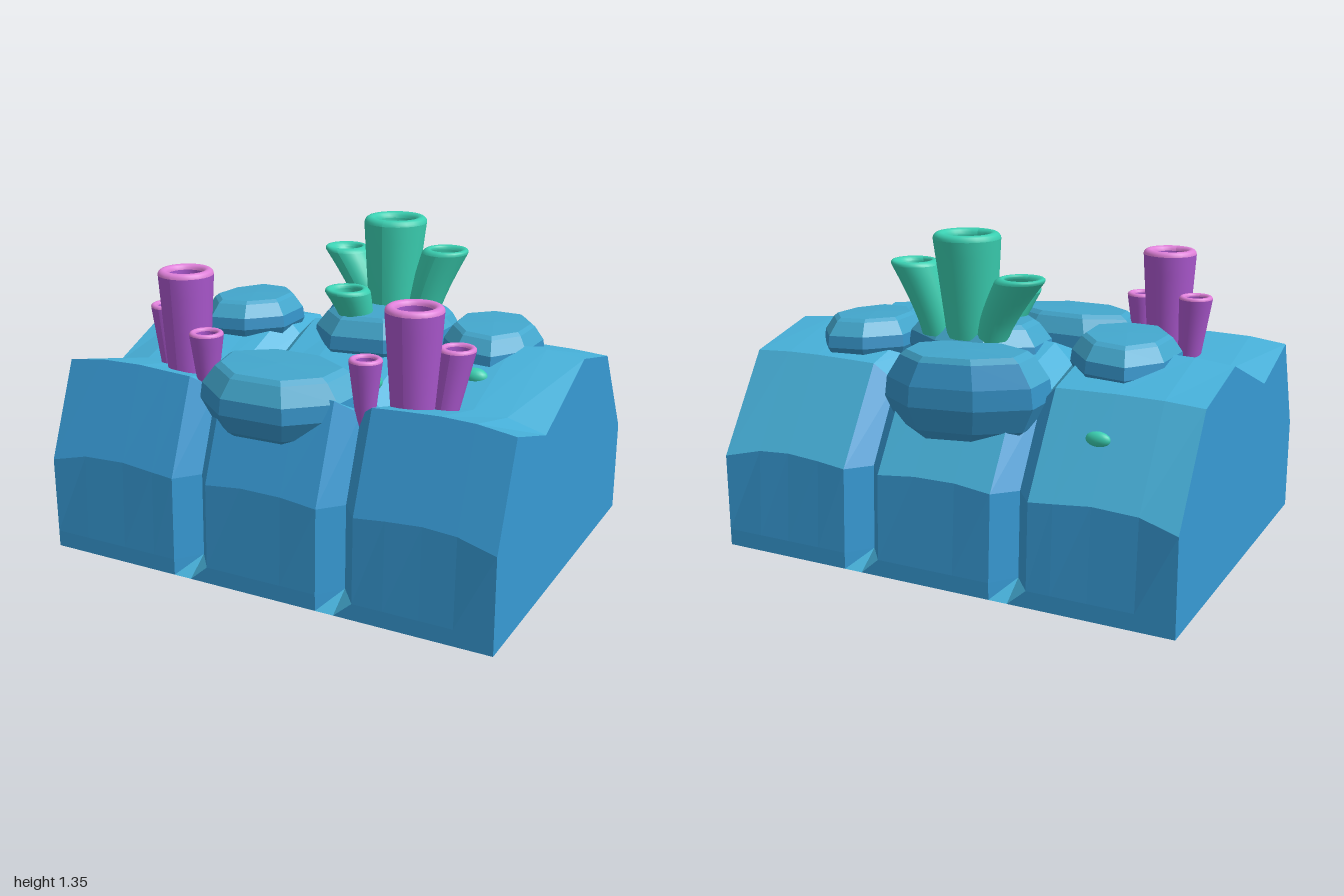
import * as THREE from 'three';

const mat = (name, color, extra = {}) =>
  Object.assign(new THREE.MeshStandardMaterial({ color, ...extra }), { name });

// Flat-shaded copy with two groups: 0 for faces turned up, 1 for the others
function splitByFacing(geometry, minUp) {
  const src = geometry.toNonIndexed().attributes.position;
  const up = [], other = [];
  const tri = new THREE.Triangle(), normal = new THREE.Vector3();
  for (let i = 0; i < src.count; i += 3) {
    tri.setFromAttributeAndIndices(src, i, i + 1, i + 2);
    if (tri.getArea() < 1e-8) continue;
    tri.getNormal(normal);
    const list = normal.y > minUp ? up : other;
    list.push(...tri.a.toArray(), ...tri.b.toArray(), ...tri.c.toArray());
  }
  const g = new THREE.BufferGeometry();
  g.setAttribute('position', new THREE.Float32BufferAttribute([...up, ...other], 3));
  g.addGroup(0, up.length / 3, 0);
  g.addGroup(up.length / 3, other.length / 3, 1);
  g.computeVertexNormals();
  return g;
}

export function createModel() {
  const group = new THREE.Group();
  const groundTop = mat('ground top cyan', 0x47b1da, { flatShading: true });
  const groundSide = mat('ground side blue', 0x379ad4, { flatShading: true });
  const rockTop = mat('rock top cyan', 0x43a7cd, { flatShading: true });
  const rockSide = mat('rock side blue', 0x3593c8, { flatShading: true });
  const purple = mat('coral purple', 0xaa57cd);
  const pink = mat('rim pink', 0xdf80d9);
  const teal = mat('coral teal', 0x3acfb1);

  const add = (name, geometry, material, parent = group) => {
    const mesh = new THREE.Mesh(geometry, material);
    mesh.name = name;
    parent.add(mesh);
    return mesh;
  };

  // Reef ground: one cross-section swept along x, with two grooves.
  // Each row: z, y, groove direction (z, y), swell (z, y)
  const rows = [
    [0.76, 0, 0, 0, 0, 0], [0.76, 0.07, 1, 0, 0, 0], [0.76, 0.4, 1, 0, -0.018, 0.045],
    [0.6, 0.8, 0.7, 0.6, -0.008, 0.025], [0.28, 0.7, 0, 0.8, -0.01, 0.05], [-0.16, 0.88, 0, 0.8, 0, 0.02],
    [-0.5, 0.8, -0.4, 0.8, 0, 0.012], [-0.76, 0.4, -1, 0, 0.029, 0.045], [-0.76, 0.07, -1, 0, 0, 0],
    [-0.76, 0, 0, 0, 0, 0],
  ];
  const stations = [-1, -0.84, -0.65, -0.5, -0.4, -0.32, -0.24, -0.08, 0.1, 0.26, 0.34, 0.42, 0.55, 0.7, 0.84, 1];
  const grooves = [-0.32, 0.34];
  const positions = [], index = [];
  for (const x of stations) {
    const swell = Math.abs(x) === 1 ? 0 : 0.75 + 0.25 * Math.cos(x * 9);
    const depth = grooves.includes(x) ? 0.1 : 0;
    for (const [z, y, dz, dy, sz, sy] of rows) {
      positions.push(x, y + sy * swell - dy * depth, z + sz * swell - dz * depth);
    }
  }
  const n = rows.length;
  for (let i = 0; i < stations.length - 1; i++) {
    for (let j = 0; j < n; j++) {
      const k = (j + 1) % n;
      const a = i * n + j, b = a + n, c = (i + 1) * n + k, d = i * n + k;
      index.push(a, b, c, a, c, d);
    }
  }
  const ground = new THREE.BufferGeometry();
  ground.setAttribute('position', new THREE.Float32BufferAttribute(positions, 3));
  ground.setIndex(index);
  add('reefGround', splitByFacing(ground, 0.45), [groundTop, groundSide]);
  for (const side of [-1, 1]) {
    const shape = new THREE.Shape(rows.map(([z, y]) => new THREE.Vector2(-side * z, y)));
    const cap = add(side > 0 ? 'leftEnd' : 'rightEnd', new THREE.ShapeGeometry(shape), groundSide);
    cap.rotation.y = side * Math.PI / 2;
    cap.position.x = side;
  }

  // Boulders: eight-sided chamfered stones
  const stoneProfile = [[0, -1], [0.62, -1], [0.86, -0.65], [1, -0.1], [0.97, 0.35], [0.8, 0.85], [0.72, 0.97], [0, 1]]
    .map(([r, y]) => new THREE.Vector2(r, y));
  const boulder = (name, x, y, z, sx, sy, sz, seed) => {
    const g = new THREE.LatheGeometry(stoneProfile, 8, Math.PI / 8);
    const p = g.attributes.position;
    for (let i = 0; i < p.count; i++) {
      const a = Math.atan2(p.getZ(i), p.getX(i));
      const f = 1.05 + 0.05 * Math.sin(a * 3 + seed);
      const r = Math.hypot(p.getX(i), p.getZ(i));
      p.setXYZ(i, p.getX(i) * f, p.getY(i) + 0.08 * r * Math.sin(a + seed), p.getZ(i) * f);
    }
    g.scale(sx, sy, sz);
    add(name, splitByFacing(g, 0.45), [rockTop, rockSide]).position.set(x, y, z);
  };
  boulder('frontBoulder', -0.04, 0.75, 0.5, 0.345, 0.145, 0.225, 3);
  boulder('rightBoulder', -0.56, 0.86, -0.175, 0.21, 0.11, 0.245, 1);
  boulder('leftBoulder', 0.575, 0.85, -0.24, 0.2, 0.11, 0.24, 4);
  boulder('centreBoulder', 0.08, 0.855, -0.18, 0.3, 0.125, 0.24, 2);
  boulder('backBoulder', -0.01, 0.74, -0.51, 0.345, 0.18, 0.195, 5);

  // Tube corals: hollow lathes, sheared so the mouth stays level
  const tube = (name, base, top, rBase, rTop, wall, body, rim, bend, cup) => {
    const h = top[1] - base[1], t = wall / 2;
    const part = new THREE.Group();
    part.name = name;
    group.add(part);
    const lean = (pts) => {
      const g = new THREE.LatheGeometry(pts.map(([r, y]) => new THREE.Vector2(r, y)), 24);
      const p = g.attributes.position;
      for (let i = 0; i < p.count; i++) {
        const k = Math.pow(Math.max(p.getY(i) / h, 0), bend);
        p.setX(i, p.getX(i) + base[0] + (top[0] - base[0]) * k);
        p.setZ(i, p.getZ(i) + base[2] + (top[2] - base[2]) * k);
        p.setY(i, p.getY(i) + base[1]);
      }
      g.computeVertexNormals();
      return g;
    };
    const rimY = h - t, rIn = rTop - wall, rLow = rBase * 0.7;
    const outer = [], lip = [], inner = [];
    for (let i = 0; i <= 6; i++) {
      const v = i / 6;
      outer.push([rBase + (rTop - rBase) * v, rimY * v]);
    }
    for (let i = 0; i <= 8; i++) {
      const a = Math.PI * i / 8;
      lip.push([rTop - t + t * Math.cos(a), rimY + t * Math.sin(a)]);
    }
    for (let i = 0; i <= 6; i++) {
      const v = 1 - i / 6 * (cup ? 0.65 : 1);
      inner.push([rLow + (rIn - rLow) * v, rimY * v]);
    }
    if (cup) inner.push([0, rimY * 0.34]);
    add('outerWall', lean(outer), body, part);
    add('rim', lean(lip), rim, part);
    add('innerWall', lean(inner), body, part);
  };
  const purpleTubes = [
    [[-0.515, 0.7, 0.43], [-0.515, 1.21, 0.43], 0.083, 0.115, 0.042],
    [[-0.635, 0.72, 0.37], [-0.665, 1.03, 0.355], 0.045, 0.072, 0.026],
    [[-0.37, 0.69, 0.51], [-0.36, 0.99, 0.525], 0.032, 0.07, 0.026],
    [[0.51, 0.7, 0.42], [0.51, 1.18, 0.42], 0.083, 0.115, 0.042],
    [[0.35, 0.69, 0.51], [0.355, 0.98, 0.52], 0.032, 0.066, 0.026],
    [[0.615, 0.72, 0.37], [0.655, 1.015, 0.335], 0.05, 0.073, 0.026],
  ];
  purpleTubes.forEach(([b, t, rb, rt, w], i) => tube('purpleTube' + (i + 1), b, t, rb, rt, w, purple, pink, 1, true));
  const tealTubes = [
    [[0.07, 0.92, -0.305], [0.07, 1.35, -0.335], 0.1, 0.137, 0.05],
    [[-0.04, 0.92, -0.33], [-0.19, 1.19, -0.365], 0.065, 0.1, 0.036],
    [[0.21, 0.92, -0.32], [0.305, 1.225, -0.355], 0.07, 0.1, 0.036],
    [[0.015, 0.9, -0.09], [-0.02, 1.083, -0.04], 0.06, 0.097, 0.036],
  ];
  tealTubes.forEach(([b, t, rb, rt, w], i) => tube('tealTube' + (i + 1), b, t, rb, rt, w, teal, teal, 1.3, false));

  // Small rounded polyps resting on the ground: position, radii, turn
  const polyps = [
    [0.23, 0.795, 0.27, 0.072, 0.043, 0.056, 0],
    [0.62, 0.815, 0.067, 0.055, 0.035, 0.036, 0],
    [-0.29, 0.74, 0.33, 0.055, 0.035, 0.025, 0.7],
    [-0.62, 0.66, -0.6, 0.05, 0.03, 0.024, 0],
  ];
  polyps.forEach(([x, y, z, a, b, c, turn], i) => {
    const mesh = add('polyp' + (i + 1), new THREE.SphereGeometry(1, 20, 12), teal);
    mesh.scale.set(a, b, c);
    mesh.rotation.y = turn;
    mesh.position.set(x, y, z);
  });

  return group;
}
